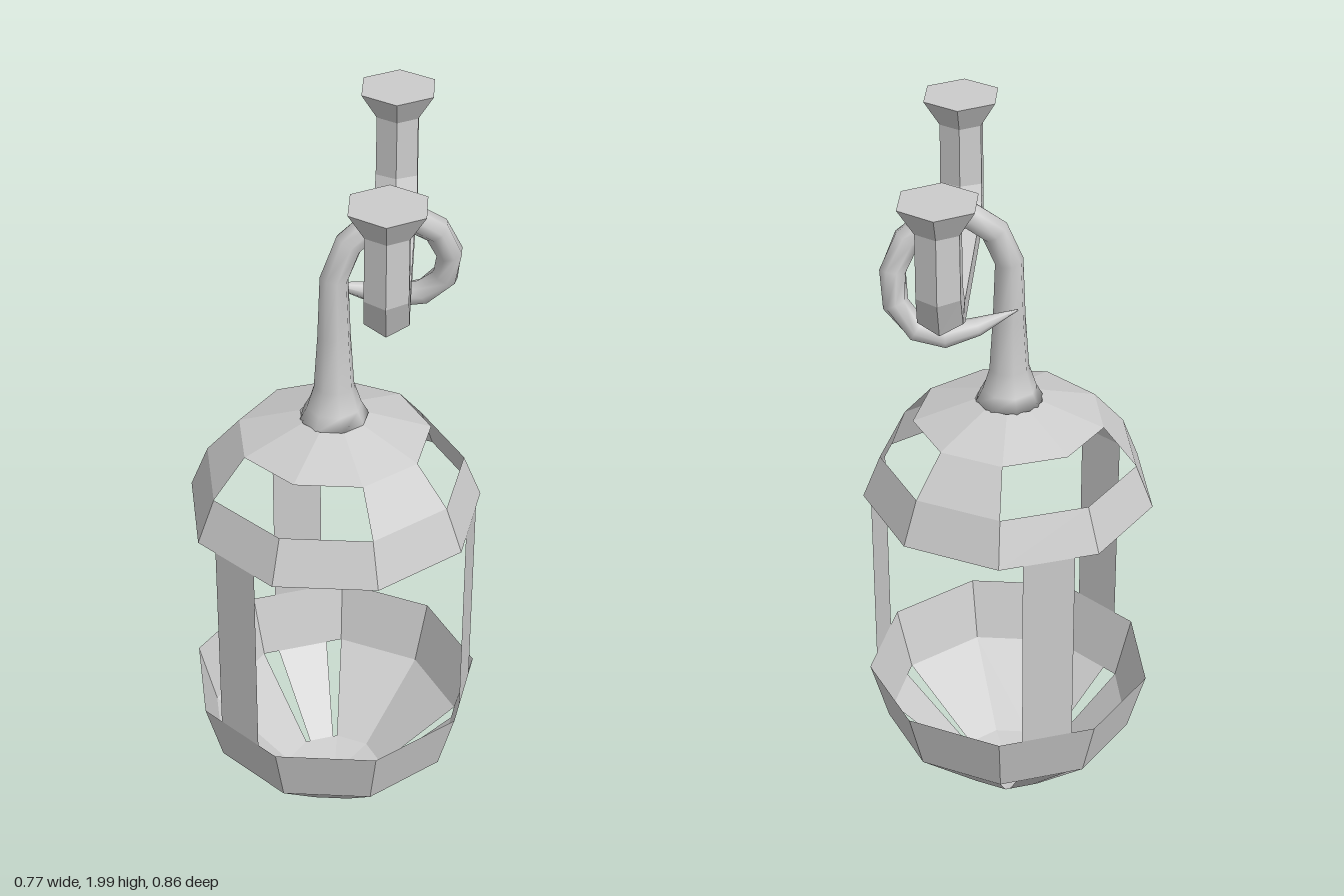
import * as THREE from 'three';

const SIDES = 9, STEP = (Math.PI * 2) / SIDES, CENTER_Z = 0.06;
const FULL = [0, 1, 2, 3, 4, 5, 6, 7, 8];
const STRUTS = [2, 5, 8];     // sides that carry the uprights
const CAP_RIBS = [1, 4, 7];   // sides closed between dome and upper band

const sheetMaterial = new THREE.MeshStandardMaterial({ color: 0xcccccc, flatShading: true, side: THREE.DoubleSide });
const flatMaterial = new THREE.MeshStandardMaterial({ color: 0xcccccc, flatShading: true });
const smoothMaterial = new THREE.MeshStandardMaterial({ color: 0xcccccc });

// Ring of a nine-sided shell: flat-side distance, half side width, height
const ring = (R, y) => ({ d: R * Math.cos(STEP / 2), h: R * Math.sin(STEP / 2), y });
const strip = (R, h, y) => ({ d: R * Math.cos(STEP / 2), h, y });

// Flat trapezoid panels on the chosen sides, stacked from bottom ring to top ring
function panels(name, sides, rings) {
  const pos = [];
  for (const s of sides) {
    const sin = Math.sin(s * STEP), cos = Math.cos(s * STEP);
    const at = (q, k) => [q.d * sin + k * q.h * cos, q.y, q.d * cos - k * q.h * sin + CENTER_Z];
    for (let i = 0; i < rings.length - 1; i++) {
      const a = at(rings[i], -1), b = at(rings[i], 1), c = at(rings[i + 1], 1), d = at(rings[i + 1], -1);
      pos.push(...a, ...b, ...c, ...a, ...c, ...d);
    }
  }
  const g = new THREE.BufferGeometry();
  g.setAttribute('position', new THREE.Float32BufferAttribute(pos, 3));
  g.computeVertexNormals();
  const mesh = new THREE.Mesh(g, sheetMaterial);
  mesh.name = name;
  return mesh;
}

// Polygonal tube with a radius per point; "ref" is roughly normal to the bend plane
function sweep(name, stations, sides, ref, phase, material) {
  const pts = stations.map(([x, y, z]) => new THREE.Vector3(x, y, z));
  const n = pts.length, pos = [], idx = [];
  pts.forEach((p, k) => {
    const t = pts[Math.min(k + 1, n - 1)].clone().sub(pts[Math.max(k - 1, 0)]).normalize();
    const s = ref.clone().addScaledVector(t, -ref.dot(t)).normalize();
    const u = t.clone().cross(s), r = stations[k][3];
    for (let i = 0; i < sides; i++) {
      const a = phase + (i / sides) * Math.PI * 2;
      const v = p.clone().addScaledVector(s, r * Math.cos(a)).addScaledVector(u, r * Math.sin(a));
      pos.push(v.x, v.y, v.z);
    }
  });
  for (let k = 0; k < n - 1; k++) {
    for (let i = 0; i < sides; i++) {
      const j = (i + 1) % sides, a = k * sides, b = a + sides;
      idx.push(a + i, a + j, b + j, a + i, b + j, b + i);
    }
  }
  const e = (n - 1) * sides;
  for (let i = 1; i < sides - 1; i++) idx.push(0, i + 1, i, e, e + i, e + i + 1);
  const g = new THREE.BufferGeometry();
  g.setAttribute('position', new THREE.Float32BufferAttribute(pos, 3));
  g.setIndex(idx);
  g.computeVertexNormals();
  const mesh = new THREE.Mesh(g, material);
  mesh.name = name;
  return mesh;
}

export function createModel() {
  const model = new THREE.Group();
  model.name = 'hangingLantern';

  // Lower bowl: rim, tapering basket with slots beside the struts, shallow tip
  const rest = FULL.filter((s) => !STRUTS.includes(s));
  model.add(panels('bowlRim', FULL, [ring(0.345, 0.225), ring(0.393, 0.4)]));
  model.add(panels('bowlPanels', rest, [ring(0.137, 0.03), ring(0.345, 0.225)]));
  model.add(panels('bowlSlats', STRUTS, [strip(0.137, 0.035, 0.03), strip(0.345, 0.073, 0.225)]));
  model.add(panels('bowlTip', FULL, [ring(0.001, 0.006), ring(0.137, 0.03)]));

  // Three flat uprights
  model.add(panels('uprights', STRUTS, [strip(0.393, 0.07, 0.4), strip(0.393, 0.07, 0.975)]));

  // Upper band, three closed ribs with window pairs between them, dome
  model.add(panels('upperBand', FULL, [ring(0.393, 0.975), ring(0.345, 1.095)]));
  model.add(panels('domeRibs', CAP_RIBS, [ring(0.345, 1.095), ring(0.255, 1.2)]));
  model.add(panels('dome', FULL, [ring(0.255, 1.2), ring(0.09, 1.257)]));

  // Flared stem curling into a pointed hook: x, y, z, radius
  model.add(sweep('stemHook', [
    [0, 1.25, 0.06, 0.093], [0, 1.29, 0.06, 0.072], [0, 1.35, 0.06, 0.053],
    [0, 1.5, 0.058, 0.043], [0, 1.66, 0.055, 0.037], [0.035, 1.75, 0.04, 0.037],
    [0.1, 1.805, 0.018, 0.037], [0.18, 1.805, -0.01, 0.037], [0.25, 1.755, -0.035, 0.036],
    [0.283, 1.68, -0.06, 0.035], [0.275, 1.6, -0.082, 0.034], [0.22, 1.54, -0.098, 0.034],
    [0.15, 1.525, -0.1, 0.032], [0.07, 1.545, -0.085, 0.024], [-0.03, 1.58, -0.055, 0.002],
  ], 8, new THREE.Vector3(0.3, 0.2, 1), 0, smoothMaterial));

  // Six-sided U bracket with flared feet, mirrored about its middle
  const half = [
    [0.312, 2, 0.105], [0.312, 1.93, 0.061], [0.312, 1.765, 0.062],
    [0.283, 1.7, 0.064], [0.215, 1.666, 0.061],
  ];
  const x = 0.14, midZ = -0.01;
  const path = [
    ...half.map(([z, y, r]) => [x, y, midZ + z, r]),
    ...half.map(([z, y, r]) => [x, y, midZ - z, r]).reverse(),
  ];
  model.add(sweep('hangingBracket', path, 6, new THREE.Vector3(1, 0, 0), Math.PI / 6, flatMaterial));

  return model;
}
